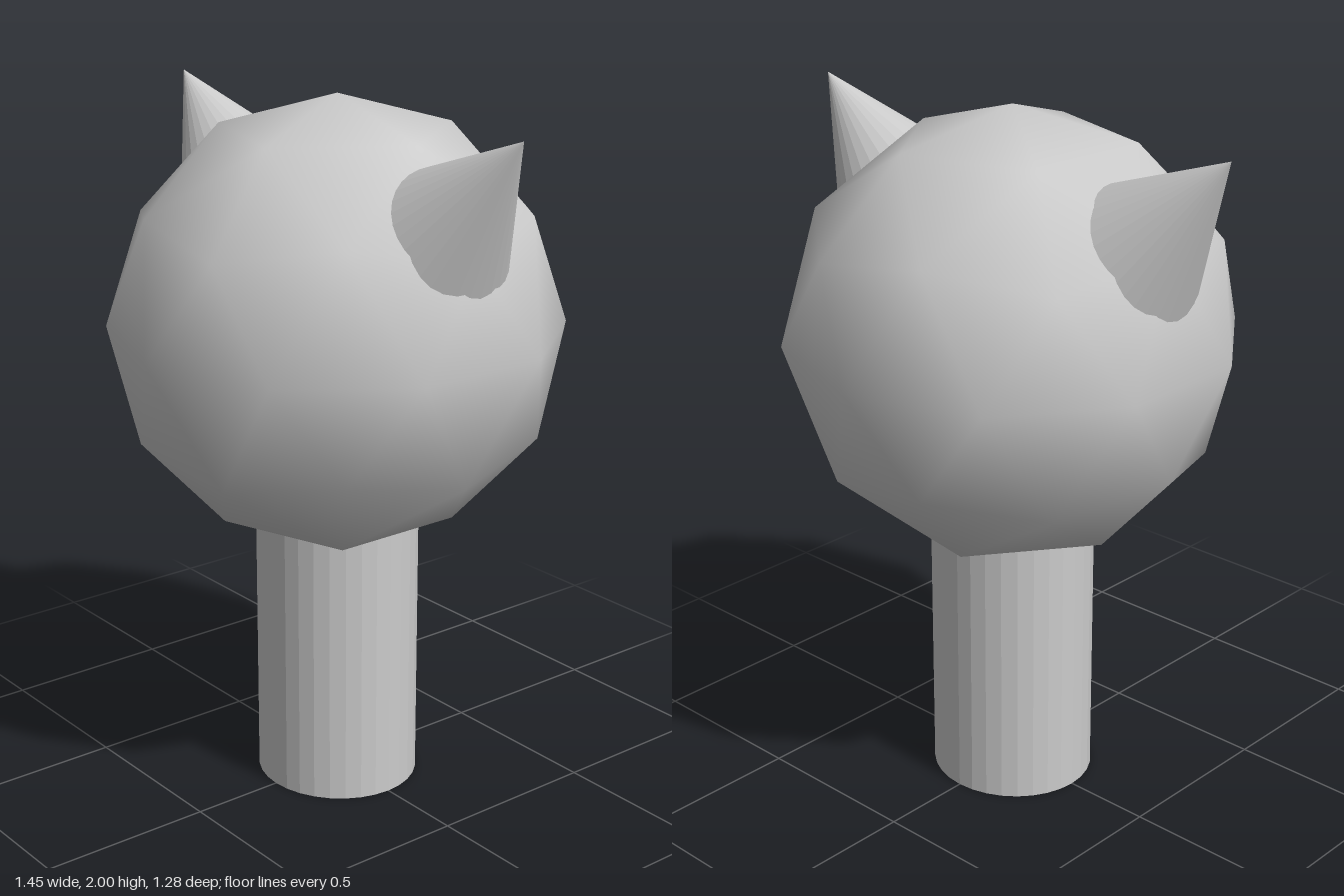
import * as THREE from 'three';

export function createModel() {
  const model = new THREE.Group();
  const smooth = new THREE.MeshStandardMaterial({ color: 0xcccccc });
  const faceted = new THREE.MeshStandardMaterial({ color: 0xcccccc, flatShading: true });

  const add = (name, geometry, material) => {
    const mesh = new THREE.Mesh(geometry, material);
    mesh.name = name;
    model.add(mesh);
    return mesh;
  };

  // Head: 80-faced icosphere turned so one vertex points straight up
  const head = new THREE.IcosahedronGeometry(0.64, 1);
  head.rotateZ(-Math.atan(2 / (1 + Math.sqrt(5))));
  add('head', head, smooth).position.y = 1.36;

  // Neck: slightly flattened post, its top buried in the head
  const neck = new THREE.CylinderGeometry(0.24, 0.24, 1, 32);
  neck.scale(1, 1, 0.955);
  add('neck', neck, faceted).position.y = 0.5;

  // Ears: cones leaning outward at 45 degrees, bases buried in the head
  const earHeight = 0.6;
  for (const [name, side] of [['leftEar', 1], ['rightEar', -1]]) {
    const ear = new THREE.ConeGeometry(0.3, earHeight, 32);
    ear.translate(0, -earHeight / 2, 0); // tip at the origin
    ear.scale(1, 1, 0.955);
    const mesh = add(name, ear, faceted);
    mesh.rotation.z = -side * Math.PI / 4;
    mesh.position.set(side * 0.725, 1.975, 0);
  }

  return model;
}
